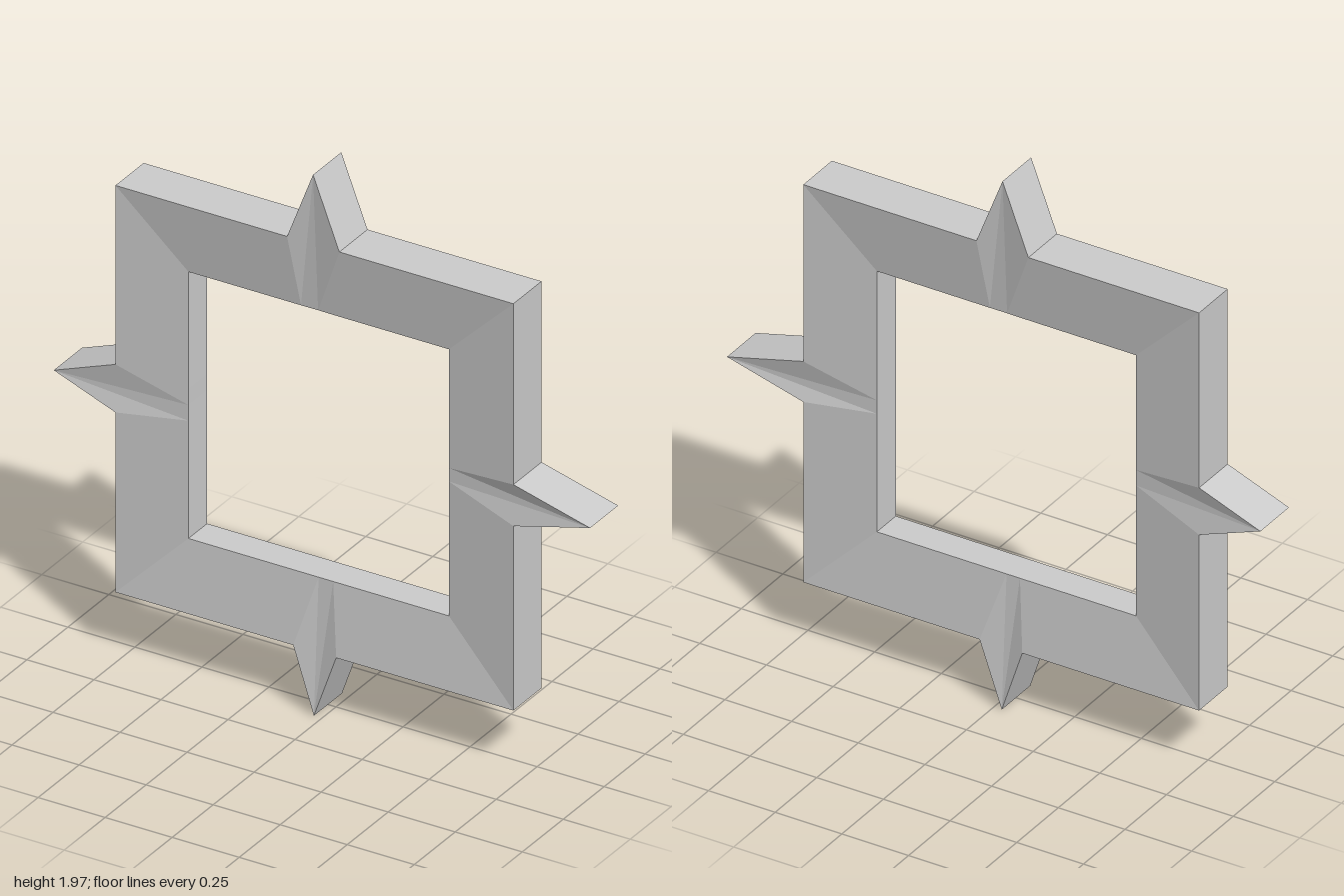
import * as THREE from 'three';

// Outer outline, counter-clockwise seen from the front: four corners and four spikes
const OUTLINE = [
  [0.714, 1.717], [0.065, 1.717], [-0.033, 1.97], [-0.13, 1.717],
  [-0.77, 1.717], [-0.77, 1.065], [-1, 0.977], [-0.77, 0.89],
  [-0.77, 0.235], [-0.107, 0.235], [-0.03, 0], [0.053, 0.235],
  [0.714, 0.235], [0.714, 0.907], [1, 0.983], [0.714, 1.058],
];
const CENTRE = [-0.03, 0.977];
const INNER_HALF = 0.486;
const INNER_SCALE = 0.656;
const OUTER_DEPTH = 0.086;
const INNER_DEPTH = 0.057;

// Pulls an outline point in to the square opening
function innerPoint(p) {
  return p.map((v, a) => CENTRE[a] +
    THREE.MathUtils.clamp((v - CENTRE[a]) * INNER_SCALE, -INNER_HALF, INNER_HALF));
}

// Ring whose front and back slope down towards the opening
function ringGeometry() {
  const sections = OUTLINE.map((o) => {
    const n = innerPoint(o);
    return [
      [...o, OUTER_DEPTH], [...n, INNER_DEPTH],
      [...n, -INNER_DEPTH], [...o, -OUTER_DEPTH],
    ];
  });
  const positions = [];
  sections.forEach((s, i) => {
    const t = sections[(i + 1) % sections.length];
    for (let k = 0; k < 4; k++) {
      const m = (k + 1) % 4;
      positions.push(...s[k], ...t[k], ...t[m], ...s[k], ...t[m], ...s[m]);
    }
  });
  const geometry = new THREE.BufferGeometry();
  geometry.setAttribute('position', new THREE.Float32BufferAttribute(positions, 3));
  geometry.computeVertexNormals();
  return geometry;
}

export function createModel() {
  const group = new THREE.Group();
  const material = new THREE.MeshStandardMaterial({ color: 0xcccccc, flatShading: true });
  const frame = new THREE.Mesh(ringGeometry(), material);
  frame.name = 'spikedSquareFrame';
  group.add(frame);
  return group;
}
